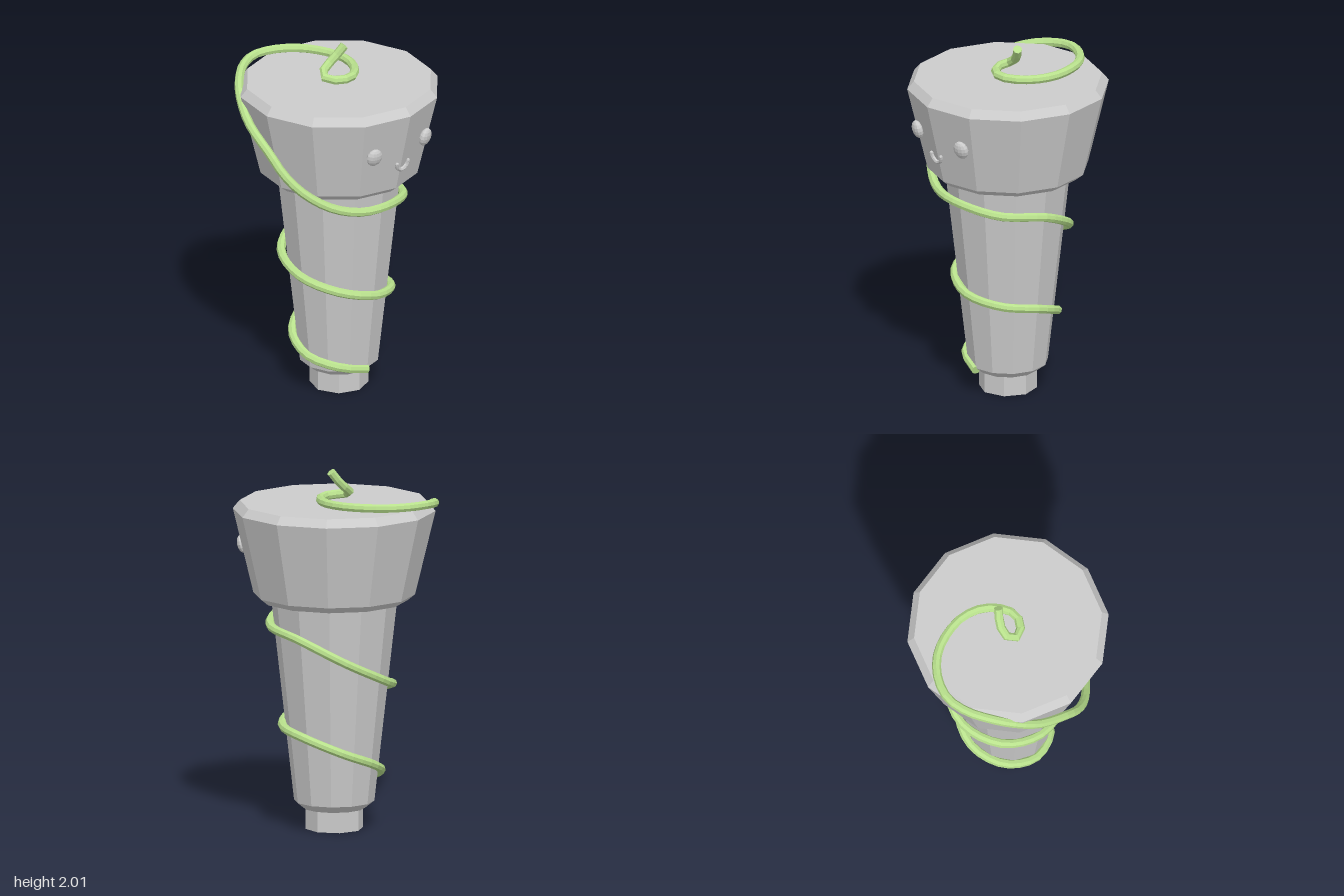
import * as THREE from 'three';

const grey = new THREE.MeshStandardMaterial({ color: 0xcccccc, flatShading: true });
const green = new THREE.MeshStandardMaterial({ color: 0xb8e08c, flatShading: true });

export function createModel() {
  const model = new THREE.Group();

  const add = (name, geometry, material = grey, parent = model) => {
    const mesh = new THREE.Mesh(geometry, material);
    mesh.name = name;
    parent.add(mesh);
    return mesh;
  };
  // Faceted solid of revolution from [radius, height] pairs, bottom to top
  const turned = (profile, sides) =>
    new THREE.LatheGeometry(profile.map(([r, y]) => new THREE.Vector2(r, y)), sides);

  // Tip, tapered shaft and wide bevelled head
  add('tip', turned([[0, 0], [0.16, 0], [0.16, 0.13], [0, 0.13]], 8));
  add('shaft', turned([[0, 0.115], [0.17, 0.115], [0.22, 0.155], [0.347, 1.29], [0, 1.29]], 12));
  add('head', turned([[0, 1.27], [0.4, 1.27], [0.443, 1.305], [0.555, 1.77], [0.518, 1.815], [0, 1.815]], 12));

  // Face, leaning with the slope of the head
  const lean = Math.atan2(0.112, 0.465);
  for (const side of [-1, 1]) {
    const eye = add(side > 0 ? 'leftEye' : 'rightEye', new THREE.SphereGeometry(1, 12, 8));
    eye.scale.set(0.047, 0.052, 0.028);
    eye.position.set(side * 0.195, 1.56, 0.472);
    eye.rotation.set(lean, side * Math.PI / 12, 0, 'YXZ');
  }
  const smile = new THREE.CatmullRomCurve3([
    [-0.042, 0.03], [-0.035, 0.004], [0, -0.017], [0.035, 0.004], [0.042, 0.03],
  ].map(([x, y]) => new THREE.Vector3(x, y, 0)));
  const mouth = new THREE.Group();
  mouth.name = 'mouth';
  add('smile', new THREE.TubeGeometry(smile, 10, 0.011, 6), grey, mouth);
  for (const side of [-1, 1]) {
    add('smileEnd', new THREE.SphereGeometry(0.011, 6, 4), grey, mouth).position.set(side * 0.042, 0.03, 0);
  }
  mouth.position.set(0, 1.447, 0.487);
  mouth.rotation.x = lean;
  model.add(mouth);

  // Vine: [height, radius] at each quarter turn, starting at the front and going by -x
  const quarters = [
    [0.145, 0.22], [0.235, 0.245], [0.38, 0.265], [0.54, 0.282], [0.61, 0.287],
    [0.725, 0.297], [0.855, 0.335], [1.095, 0.337], [1.17, 0.365],
  ];
  const path = [];
  for (let i = 0; i <= (quarters.length - 1) * 2; i++) {
    const a = quarters[Math.floor(i / 2)], b = quarters[Math.ceil(i / 2)];
    const angle = i * Math.PI / 4, r = (a[1] + b[1]) / 2;
    path.push([-Math.sin(angle) * r, (a[0] + b[0]) / 2, Math.cos(angle) * r]);
  }
  // Swing out around the head, curl over its top and rise at the end
  path.push(
    [-0.18, 1.185, 0.345], [-0.33, 1.235, 0.275], [-0.45, 1.33, 0.18], [-0.51, 1.43, 0.09],
    [-0.528, 1.53, 0], [-0.51, 1.65, -0.18], [-0.45, 1.745, -0.31], [-0.36, 1.795, -0.41],
    [-0.25, 1.82, -0.49], [-0.13, 1.833, -0.525], [0, 1.835, -0.49], [0.1, 1.835, -0.41],
    [0.16, 1.835, -0.3], [0.185, 1.835, -0.18], [0.165, 1.835, -0.07], [0.12, 1.835, 0],
    [0.06, 1.836, 0.05], [0, 1.838, 0.065], [-0.06, 1.84, 0.04], [-0.093, 1.845, 0],
    [-0.085, 1.855, -0.04], [-0.045, 1.878, -0.062], [0.01, 1.92, -0.05], [0.06, 1.99, -0.02],
  );
  const curve = new THREE.CatmullRomCurve3(path.map((p) => new THREE.Vector3(...p)));
  const radius = 0.025;
  const vine = new THREE.Group();
  vine.name = 'vine';
  add('vineStem', new THREE.TubeGeometry(curve, 110, radius, 8), green, vine);
  for (const [t, sign] of [[0, -1], [1, 1]]) {
    const cap = add('vineEnd', new THREE.CircleGeometry(radius, 8), green, vine);
    const point = curve.getPointAt(t);
    cap.position.copy(point);
    cap.lookAt(point.clone().addScaledVector(curve.getTangentAt(t), sign));
  }
  model.add(vine);

  return model;
}
